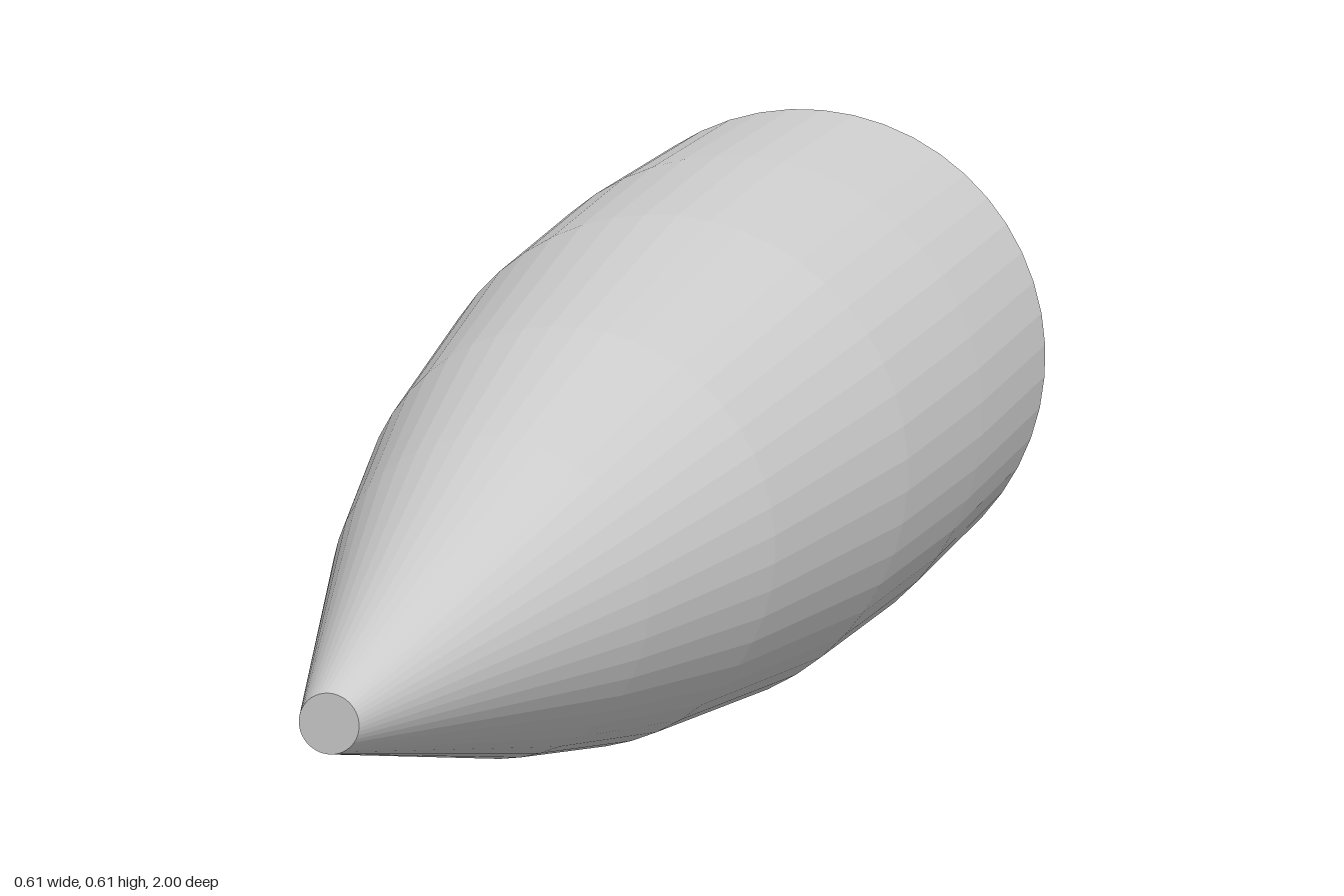
import * as THREE from 'three';

const SIDES = 48;
const CENTRE_Y = 0.309;

// Radius and position along z, from the flat base to the blunt tip
const PROFILE = [
  [0, -1], [0.306, -1], [0.298, -0.58], [0.277, -0.22],
  [0.219, 0.2], [0.158, 0.49], [0.027, 1], [0, 1],
];

export function createModel() {
  const group = new THREE.Group();
  group.name = 'taperedNose';

  // Faceted body with closed ends, turned to lie along z
  const points = PROFILE.map(([r, z]) => new THREE.Vector2(r, z));
  const geometry = new THREE.LatheGeometry(points, SIDES, Math.PI / SIDES);
  geometry.rotateX(Math.PI / 2);

  const material = new THREE.MeshStandardMaterial({ color: 0xcccccc, flatShading: true });
  const body = new THREE.Mesh(geometry, material);
  body.name = 'body';
  body.position.y = CENTRE_Y;
  group.add(body);
  return group;
}
